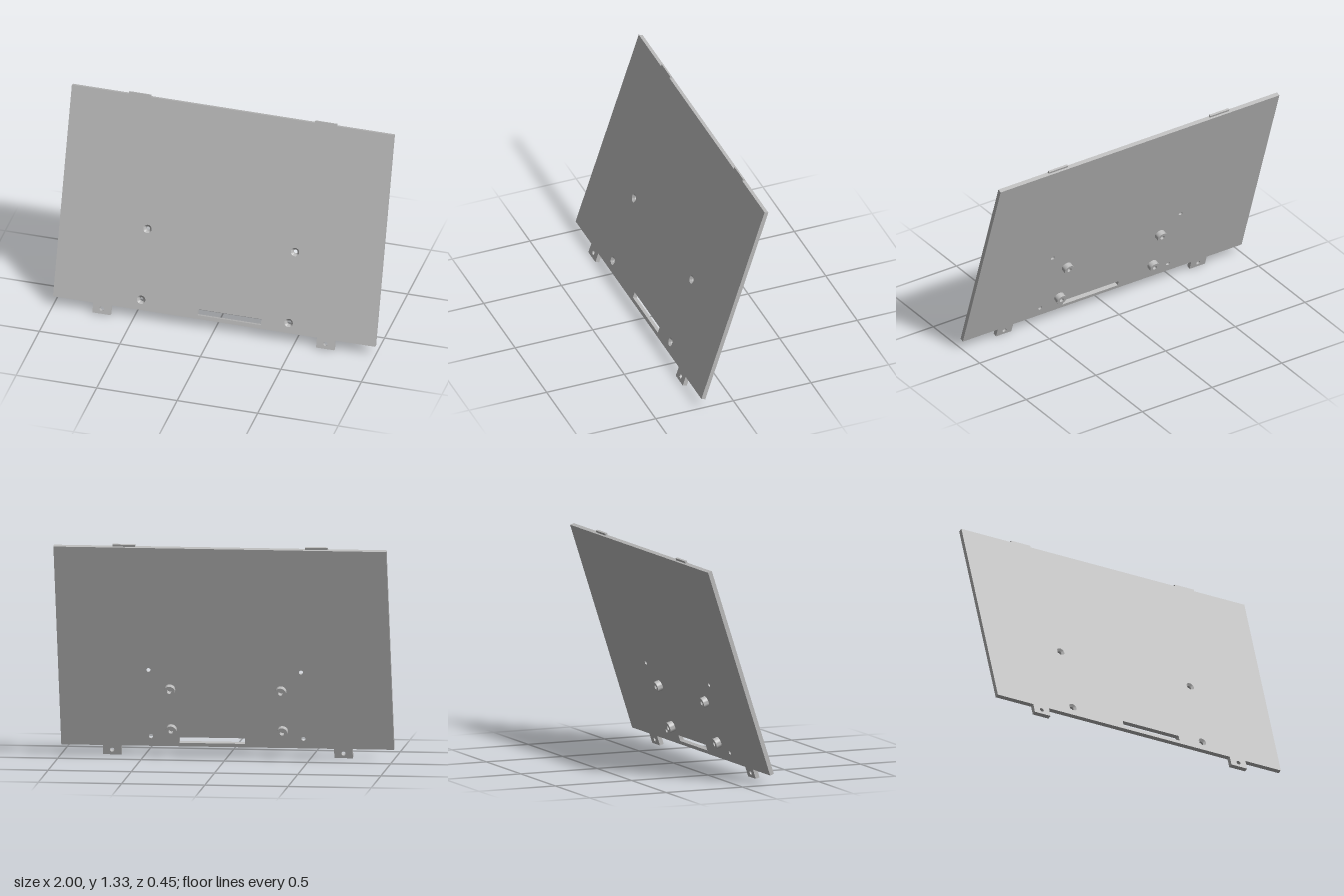
import * as THREE from 'three';
import { toCreasedNormals } from 'three/addons/utils/BufferGeometryUtils.js';

const THICK = 0.026, HALF = THICK / 2;
const BOTTOM = 0.061, TOP = 1.377, TAB_TOP = 1.39;
const FOOT_IN = 0.639, FOOT_OUT = 0.75;      // lower tabs
const LIP_IN = 0.51, LIP_OUT = 0.646;        // upper lips
const SINK_R = 0.026, HOLE_R = 0.013;
const SCREW_HOLES = [[-0.458, 0.565], [0.458, 0.565], [-0.458, 0.124], [0.458, 0.124]];
const BOSSES = [[-0.334, 0.439], [0.334, 0.439], [-0.334, 0.174], [0.334, 0.174]];

function circleHole(x, y, r) {
  const path = new THREE.Path();
  path.absarc(x, y, r, 0, Math.PI * 2, true);
  return path;
}

// Panel outline with feet, slot and holes; lips along the top are optional
function panelShape(withLips, screwRadius) {
  const right = [[0, BOTTOM], [FOOT_IN, BOTTOM], [FOOT_IN, 0], [FOOT_OUT, 0],
    [FOOT_OUT, BOTTOM], [1, BOTTOM], [1, TOP]];
  if (withLips) right.push([LIP_OUT, TOP], [LIP_OUT, TAB_TOP], [LIP_IN, TAB_TOP], [LIP_IN, TOP]);
  const left = right.slice(1).reverse().map(([x, y]) => [-x, y]);
  const shape = new THREE.Shape([...right, ...left].map(([x, y]) => new THREE.Vector2(x, y)));

  // Cable slot
  shape.holes.push(new THREE.Path([[-0.106, 0.084], [-0.106, 0.121], [0.289, 0.121], [0.289, 0.084]]
    .map(([x, y]) => new THREE.Vector2(x, y))));
  for (const side of [-1, 1]) shape.holes.push(circleHole(side * 0.695, 0.031, 0.0135));
  for (const [x, y] of SCREW_HOLES) shape.holes.push(circleHole(x, y, screwRadius));
  return shape;
}

function lathe(points) {
  const geo = new THREE.LatheGeometry(points.map(([r, y]) => new THREE.Vector2(r, y)), 32);
  return toCreasedNormals(geo, 0.6);
}

export function createModel() {
  const model = new THREE.Group();
  model.name = 'mountingPanel';
  const grey = new THREE.MeshStandardMaterial({ color: 0xbababa });
  grey.name = 'grey';

  // Everything is built upright, then leaned back
  const panel = new THREE.Group();
  panel.name = 'leaningPanel';
  panel.rotation.x = -THREE.MathUtils.degToRad(18);
  panel.position.z = 0.2;
  model.add(panel);

  function add(name, geometry, x = 0, y = 0, z = 0) {
    const mesh = new THREE.Mesh(geometry, grey);
    mesh.name = name;
    mesh.position.set(x, y, z);
    panel.add(mesh);
  }

  // Back and front halves of the plate
  const extrude = { depth: HALF, bevelEnabled: false, curveSegments: 16 };
  add('panelBack', new THREE.ExtrudeGeometry(panelShape(false, HOLE_R), extrude));
  add('panelFront', new THREE.ExtrudeGeometry(panelShape(true, SINK_R), extrude), 0, 0, HALF);

  // Countersinks in the front face
  const sink = lathe([[SINK_R, HALF], [HOLE_R, 0]]).rotateX(Math.PI / 2);
  for (const [x, y] of SCREW_HOLES) add('countersink', sink, x, y, HALF);

  // Hollow round bosses on the back
  const boss = lathe([[0.033, 0], [0.033, 0.033], [0.014, 0.033], [0.014, 0.001], [0, 0.001]])
    .rotateX(-Math.PI / 2);
  for (const [x, y] of BOSSES) add('boss', boss, x, y, 0);

  return model;
}
